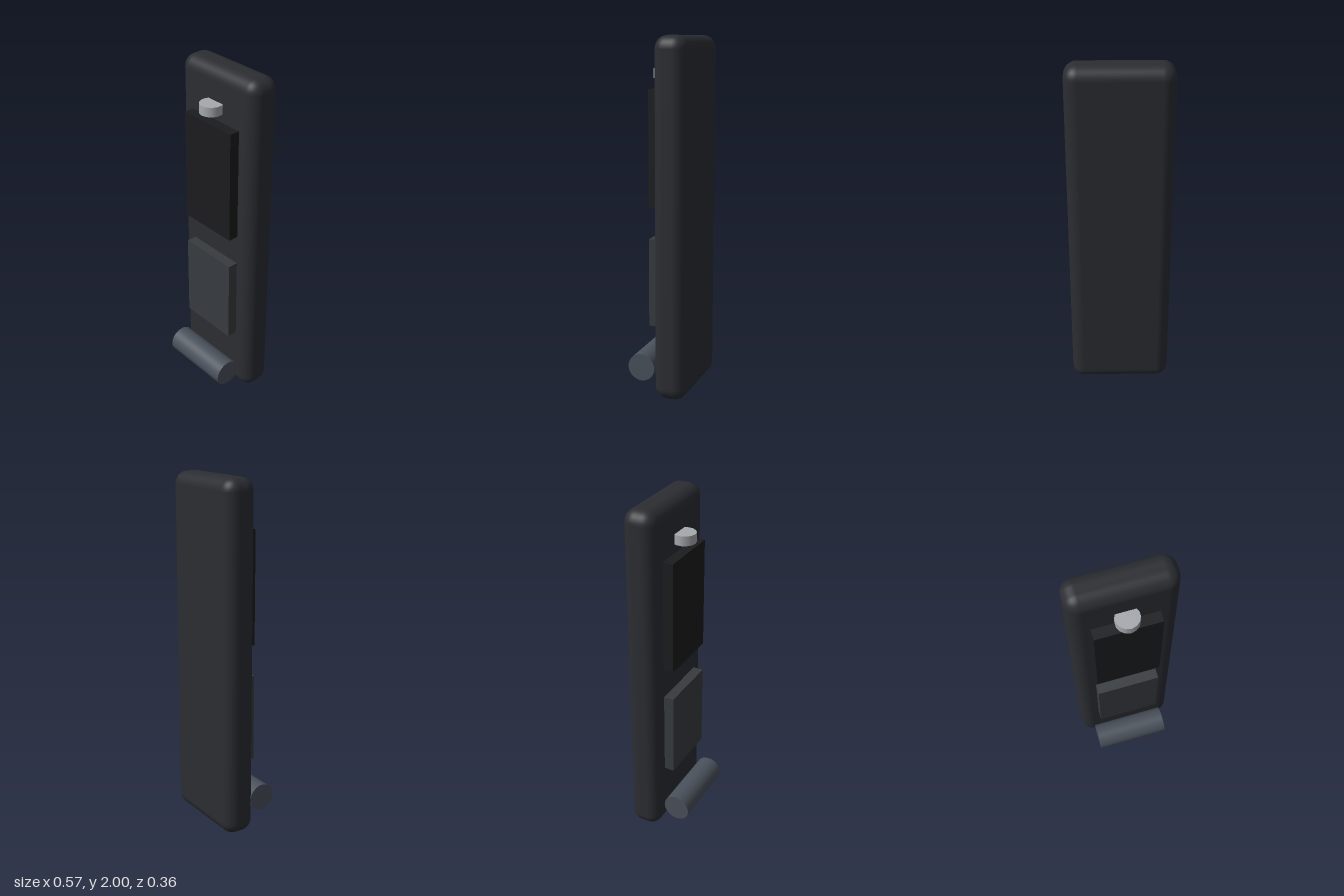
import * as THREE from 'three';
import { RoundedBoxGeometry } from 'three/addons/geometries/RoundedBoxGeometry.js';

export function createModel() {
  const group = new THREE.Group();

  const add = (name, geometry, color, x, y, z) => {
    const mesh = new THREE.Mesh(geometry, new THREE.MeshStandardMaterial({ color }));
    mesh.name = name;
    mesh.position.set(x, y, z);
    group.add(mesh);
    return mesh;
  };

  // Slim rounded housing
  add('body', new RoundedBoxGeometry(0.572, 2, 0.184, 4, 0.071), 0x2b2d32, 0, 1, -0.088);

  // Raised rectangular panels on the front face
  add('upperPanel', new THREE.BoxGeometry(0.357, 0.642, 0.071), 0x1b1c1e, 0, 1.396, 0.027);
  add('lowerPanel', new THREE.BoxGeometry(0.357, 0.5, 0.071), 0x373b3f, 0, 0.647, 0.027);

  // Round button, upright axis, partly sunk into the housing
  add('button', new THREE.CylinderGeometry(0.064, 0.064, 0.053, 14), 0xa6aaae, 0, 1.796, 0.034);

  // Horizontal roller across the foot
  const roller = add('roller', new THREE.CylinderGeometry(0.0785, 0.0785, 0.428, 32), 0x4a515b, 0, 0.154, 0.099);
  roller.rotation.z = Math.PI / 2;

  return group;
}
